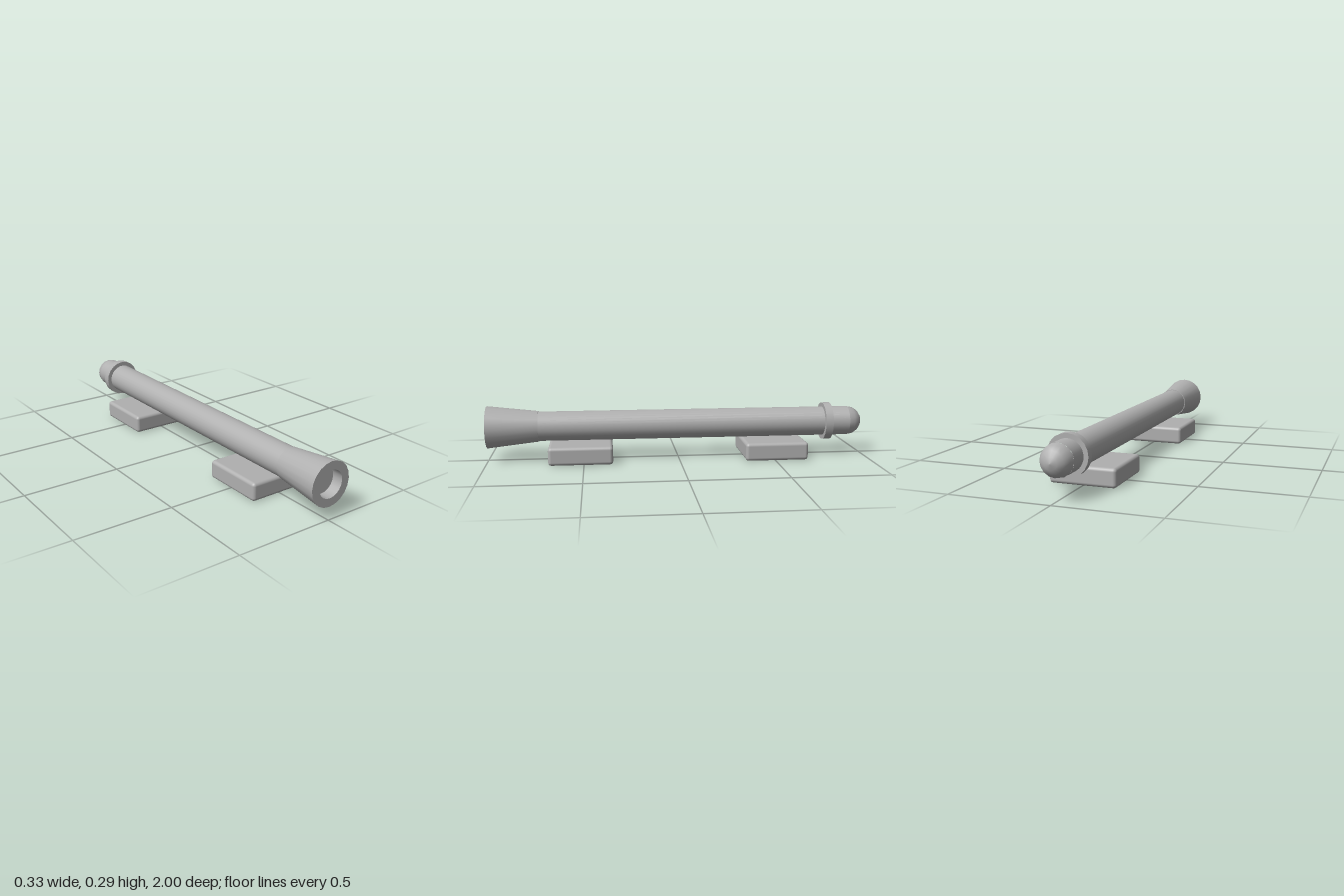
import * as THREE from 'three';
import { mergeGeometries } from 'three/addons/utils/BufferGeometryUtils.js';
import { RoundedBoxGeometry } from 'three/addons/geometries/RoundedBoxGeometry.js';

const AXIS_Y = 0.177;

// Revolves [radius, z] profiles about the long axis; separate profiles meet at sharp edges.
function revolve(profiles, sides) {
  const pieces = profiles.map((profile) =>
    new THREE.LatheGeometry(profile.map(([r, z]) => new THREE.Vector2(r, z)), sides));
  return mergeGeometries(pieces).rotateX(Math.PI / 2).translate(0, AXIS_Y, 0);
}

export function createModel() {
  const group = new THREE.Group();
  const grey = new THREE.MeshStandardMaterial({ color: 0xb0b0b0 });
  grey.name = 'plain grey';

  const add = (name, geometry) => {
    const mesh = new THREE.Mesh(geometry, grey);
    mesh.name = name;
    group.add(mesh);
    return mesh;
  };

  // Long main tube
  add('tube', revolve([[[0.077, -0.923], [0.077, 0.75]]], 32));

  // Rounded rear cap
  const dome = [];
  for (let i = 0; i <= 4; i++) {
    const a = (i / 4) * Math.PI / 2;
    dome.push([0.077 * Math.sin(a), -0.923 - 0.077 * Math.cos(a)]);
  }
  add('rearDome', revolve([dome], 16));

  // Collar near the rear
  add('collar', revolve([
    [[0.07, -0.826], [0.1, -0.826]],
    [[0.1, -0.826], [0.1, -0.786]],
    [[0.1, -0.786], [0.07, -0.786]],
  ], 20));

  // Flared muzzle with a flat rim
  add('muzzle', revolve([
    [[0.07, 0.735], [0.081, 0.735]],
    [[0.081, 0.735], [0.111, 1]],
    [[0.111, 1], [0.069, 1]],
  ], 20));

  // Shallow recess in the muzzle
  add('muzzleRecess', revolve([
    [[0.069, 1], [0.069, 0.945]],
    [[0.069, 0.945], [0, 0.945]],
  ], 20));

  // Two rounded support pads under the tube
  for (const [name, z] of [['frontPad', 0.516], ['rearPad', -0.508]]) {
    add(name, new RoundedBoxGeometry(0.333, 0.094, 0.332, 3, 0.017)).position.set(0, 0.047, z);
  }

  return group;
}
